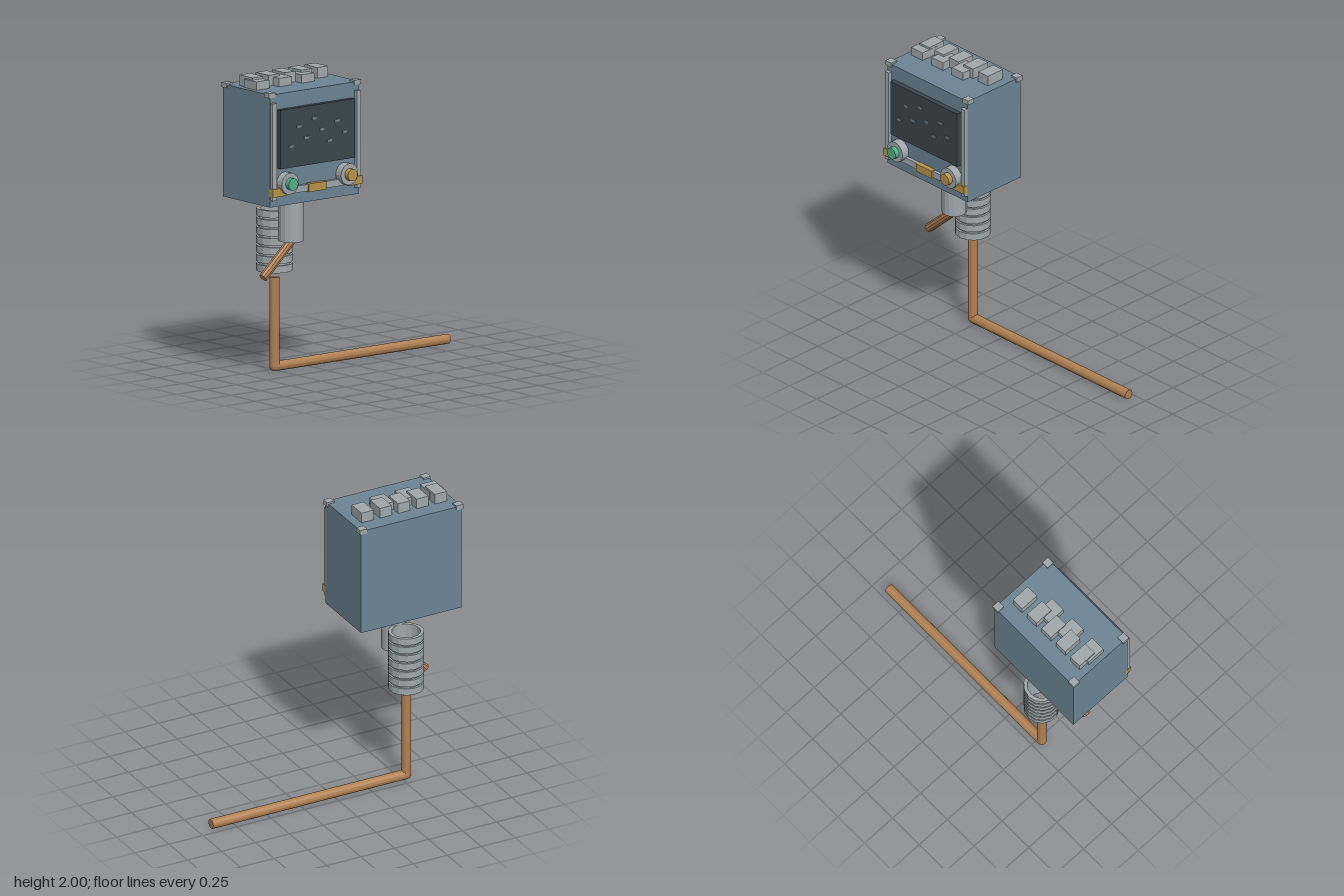
import * as THREE from 'three';

const material = (name, color, extra = {}) => {
  const m = new THREE.MeshStandardMaterial({ color, ...extra });
  m.name = name;
  return m;
};

export function createModel() {
  const model = new THREE.Group();
  model.name = 'instrumentBox';

  const blue = material('slate blue', 0x6c8494);
  const grey = material('light grey metal', 0xa0a8ac, { flatShading: true });
  const dark = material('dark screen', 0x3a454e);
  const copper = material('copper', 0xb08053, { flatShading: true });
  const gold = material('brass', 0xb8944a, { flatShading: true });
  const green = material('green', 0x55b08c, { flatShading: true });

  const add = (name, geometry, mat, parent = model) => {
    const mesh = new THREE.Mesh(geometry, mat);
    mesh.name = name;
    parent.add(mesh);
    return mesh;
  };
  // Box given by its low and high corner on each axis
  const box = (name, mat, x0, x1, y0, y1, z0, z1) => {
    const mesh = add(name, new THREE.BoxGeometry(x1 - x0, y1 - y0, z1 - z0), mat);
    mesh.position.set((x0 + x1) / 2, (y0 + y1) / 2, (z0 + z1) / 2);
    return mesh;
  };
  // Straight rod between two points
  const rod = (name, mat, from, to, radius, sides = 12) => {
    const a = new THREE.Vector3(...from), b = new THREE.Vector3(...to);
    const mesh = add(name, new THREE.CylinderGeometry(radius, radius, a.distanceTo(b), sides), mat);
    mesh.position.copy(a).lerp(b, 0.5);
    mesh.quaternion.setFromUnitVectors(new THREE.Vector3(0, 1, 0), b.sub(a).normalize());
    return mesh;
  };

  const cx = -0.53; // centre line of the housing

  // Housing with caps on the four top corners
  box('housing', blue, -0.9, -0.16, 1.19, 1.93, -0.26, 0.22);
  for (const x of [-0.885, -0.175]) {
    for (const z of [-0.24, 0.2]) {
      box('cornerCap', grey, x - 0.026, x + 0.026, 1.91, 1.942, z - 0.026, z + 0.026);
    }
  }

  // Two rows of blocks on the lid
  for (let i = 0; i < 5; i++) {
    const x = -0.805 + i * 0.135;
    box('rearBlock', grey, x - 0.044, x + 0.044, 1.92, 2, -0.155, -0.022);
  }
  for (let i = 0; i < 3; i++) {
    const x = -0.812 + i * 0.187;
    box('frontBlock', grey, x - 0.053, x + 0.053, 1.92, 1.985, -0.09, 0.04);
  }

  // Screen with small marks
  box('screen', dark, -0.838, -0.222, 1.44, 1.828, 0.21, 0.254);
  const heights = [1.58, 1.703, 1.622, 1.742, 1.662, 1.58, 1.703, 1.622];
  heights.forEach((y, i) => {
    const x = -0.752 + i * 0.0635;
    box('screenMark', blue, x - 0.018, x + 0.018, y - 0.008, y + 0.008, 0.252, 0.259);
  });

  // Side and lower trims with brass blocks
  for (const x of [-0.88, -0.18]) {
    box('sideTrim', grey, x - 0.017, x + 0.017, 1.235, 1.875, 0.21, 0.245);
  }
  box('lowerTrim', grey, -0.87, -0.19, 1.265, 1.31, 0.21, 0.242);
  for (const x of [-0.845, cx, -0.215]) {
    const half = x === cx ? 0.072 : 0.055;
    box('brassBlock', gold, x - half, x + half, 1.26, 1.314, 0.21, 0.254);
  }

  // Two dials
  for (const [x, mat] of [[-0.775, green], [-0.283, gold]]) {
    rod('dialRing', grey, [x, 1.34, 0.21], [x, 1.34, 0.275], 0.071, 20);
    rod('dialKnob', mat, [x, 1.34, 0.26], [x, 1.34, 0.308], 0.04, 16);
  }

  // Neck below the housing, with a slanted copper stub
  rod('neck', grey, [cx, 0.89, -0.02], [cx, 1.2, -0.02], 0.082, 16);
  rod('slantedStub', copper, [-0.51, 0.905, -0.02], [-0.763, 0.673, -0.02], 0.03, 10);

  // Hollow ribbed sleeve
  const bottom = 0.67, ribs = 7, pitch = 0.0605, rib = 0.047;
  const profile = [new THREE.Vector2(0.094, bottom)];
  for (let i = 0; i < ribs; i++) {
    const y = bottom + i * pitch;
    profile.push(new THREE.Vector2(0.118, y), new THREE.Vector2(0.118, y + rib));
    if (i < ribs - 1) {
      profile.push(new THREE.Vector2(0.104, y + rib), new THREE.Vector2(0.104, y + pitch));
    }
  }
  profile.push(new THREE.Vector2(0.094, bottom + (ribs - 1) * pitch + rib), profile[0].clone());
  add('ribbedSleeve', new THREE.LatheGeometry(profile, 14), grey).position.set(cx, 0, -0.19);

  // Bent copper pipe
  const elbow = [cx, 0.036, -0.19];
  rod('uprightPipe', copper, [cx, 0.625, -0.19], elbow, 0.033);
  rod('longPipe', copper, elbow, [0.908, 0.036, -0.19], 0.033);
  add('pipeElbow', new THREE.SphereGeometry(0.033, 12, 8), copper).position.set(...elbow);

  return model;
}
